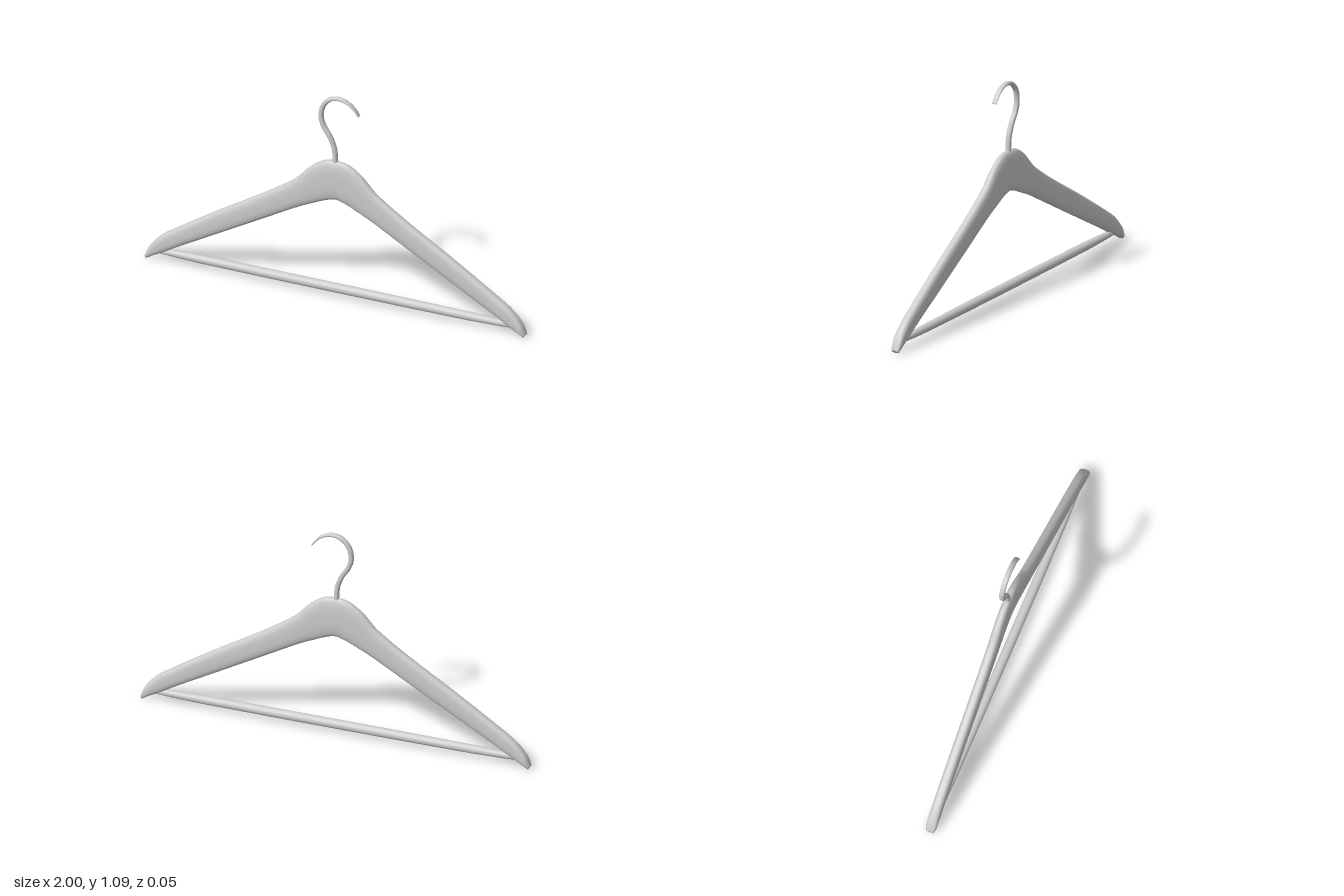
import * as THREE from 'three';

const material = new THREE.MeshStandardMaterial({ color: 0xcccccc, roughness: 0.6 });

// Closed skin through cross-sections { top, bottom, depth }, each a superellipse lying across the path.
function loft(sections, sides, power) {
  const positions = [], index = [];
  const soft = (v) => Math.sign(v) * Math.abs(v) ** (2 / power);
  for (const { top, bottom, depth } of sections) {
    for (let j = 0; j < sides; j++) {
      const a = (j / sides) * Math.PI * 2;
      const t = (1 + soft(Math.cos(a))) / 2;
      positions.push(
        bottom.x + (top.x - bottom.x) * t,
        bottom.y + (top.y - bottom.y) * t,
        depth * soft(Math.sin(a)));
    }
  }
  const last = sections.length - 1;
  for (let i = 0; i < last; i++) {
    for (let j = 0; j < sides; j++) {
      const k = (j + 1) % sides, a = i * sides, b = a + sides;
      index.push(a + j, a + k, b + j, a + k, b + k, b + j);
    }
  }
  // end caps
  for (let j = 1; j < sides - 1; j++) {
    index.push(0, j + 1, j, last * sides, last * sides + j, last * sides + j + 1);
  }
  const geometry = new THREE.BufferGeometry();
  geometry.setAttribute('position', new THREE.Float32BufferAttribute(positions, 3));
  geometry.setIndex(index);
  geometry.computeVertexNormals();
  return geometry;
}

const curve = (points) => new THREE.CatmullRomCurve3(points.map(([x, y]) => new THREE.Vector3(x, y, 0)));

function addMesh(group, name, geometry) {
  const mesh = new THREE.Mesh(geometry, material);
  mesh.name = name;
  group.add(mesh);
}

// Shoulders: upper and lower edge of one arm, mirrored for the other
function shouldersGeometry() {
  const upper = [[0, 0.743], [0.06, 0.735], [0.13, 0.69], [0.2, 0.615], [0.25, 0.575], [0.38, 0.487],
    [0.6, 0.35], [0.81, 0.213], [0.92, 0.135], [0.975, 0.07], [0.998, 0.018]];
  const lower = [[0, 0.535], [0.05, 0.522], [0.11, 0.495], [0.18, 0.462], [0.27, 0.412], [0.4, 0.338],
    [0.62, 0.213], [0.82, 0.1], [0.9, 0.052], [0.96, 0.02], [0.984, 0.004]];
  const mirrored = (points) =>
    curve([...points.slice(1).reverse().map(([x, y]) => [-x, y]), ...points]);
  const topEdge = mirrored(upper), bottomEdge = mirrored(lower);
  const steps = 100, sections = [];
  for (let i = 0; i <= steps; i++) {
    const u = i / steps;
    const toTip = Math.max(0, (Math.abs(2 * u - 1) - 0.88) / 0.12);
    sections.push({
      top: topEdge.getPoint(u),
      bottom: bottomEdge.getPoint(u),
      depth: 0.027 - 0.008 * toTip ** 2,
    });
  }
  return loft(sections, 32, 2.7);
}

// Hook: bent wire, thinned in its own plane towards the tip
function hookGeometry() {
  const path = curve([[0, 0.71], [-0.003, 0.75], [-0.009, 0.81], [-0.032, 0.87], [-0.064, 0.92],
    [-0.078, 0.97], [-0.067, 1.03], [-0.03, 1.072], [0.02, 1.084], [0.072, 1.066],
    [0.104, 1.036], [0.121, 1.012]]);
  const steps = 70, sections = [];
  for (let i = 0; i <= steps; i++) {
    const u = i / steps;
    const p = path.getPointAt(u), t = path.getTangentAt(u);
    const radius = 0.0125 - 0.0095 * Math.max(0, (u - 0.55) / 0.45) ** 1.5;
    const normal = new THREE.Vector3(-t.y, t.x, 0).multiplyScalar(radius);
    sections.push({ top: p.clone().add(normal), bottom: p.clone().sub(normal), depth: 0.0135 });
  }
  return loft(sections, 16, 2.4);
}

// Trouser bar: round rod, slimmer at both ends
function barGeometry() {
  const half = [[0, 0.0235], [0.35, 0.0232], [0.7, 0.0215], [0.85, 0.0175], [0.93, 0.0135], [0.93, 0]];
  const profile = [...half.slice(1).reverse().map(([x, r]) => [-x, r]), ...half]
    .map(([x, r]) => new THREE.Vector2(r, x));
  return new THREE.LatheGeometry(profile, 24).rotateZ(-Math.PI / 2).translate(0, 0.053, 0);
}

export function createModel() {
  const hanger = new THREE.Group();
  hanger.name = 'clothesHanger';
  addMesh(hanger, 'shoulders', shouldersGeometry());
  addMesh(hanger, 'hook', hookGeometry());
  addMesh(hanger, 'trouserBar', barGeometry());
  return hanger;
}
